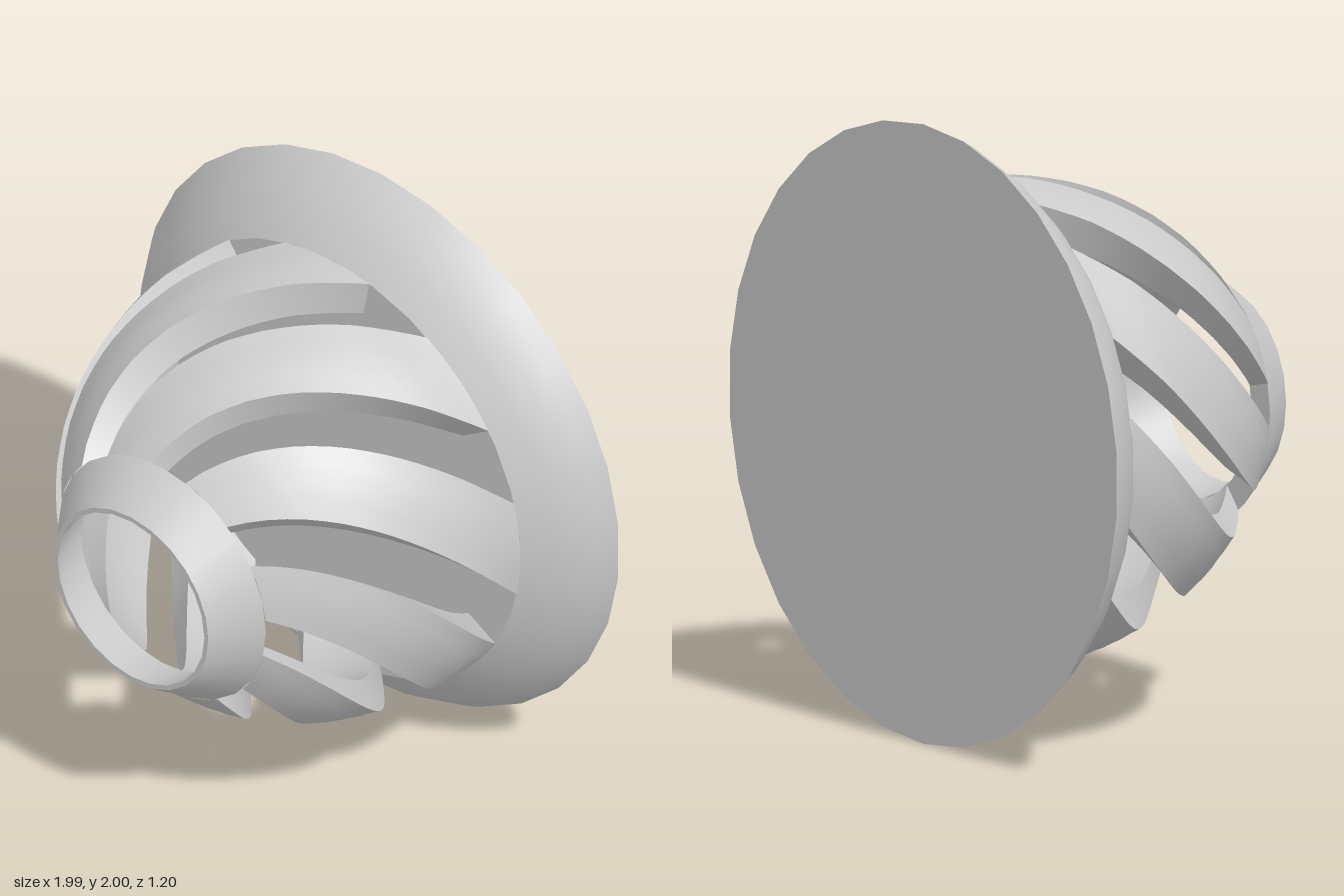
import * as THREE from 'three';
import { toCreasedNormals } from 'three/addons/utils/BufferGeometryUtils.js';

const RIBS = 8;
const RIB_WIDTH = 26;      // degrees around the axis
const TWIST = 62;          // degrees from base to collar
const Z0 = -0.37, Z1 = 0.45;
const rad = THREE.MathUtils.degToRad;

// Outer radius of the bowl along the axis: [z, radius]
const BOWL = [[-0.37, 0.785], [-0.2, 0.78], [-0.1, 0.762], [0, 0.735], [0.1, 0.7],
  [0.2, 0.648], [0.3, 0.58], [0.4, 0.49], [0.45, 0.435]];

function bowlRadius(z) {
  let i = 1;
  while (i < BOWL.length - 1 && z > BOWL[i][0]) i++;
  const [za, ra] = BOWL[i - 1], [zb, rb] = BOWL[i];
  return ra + (rb - ra) * (z - za) / (zb - za);
}

// Turned part around the z axis from [radius, z] points
function turned(profile, sides) {
  const pts = profile.map(([r, z]) => new THREE.Vector2(r, z));
  const geo = new THREE.LatheGeometry(pts, sides).rotateX(Math.PI / 2);
  return toCreasedNormals(geo, rad(32));
}

// Curved bar that follows the bowl while twisting round the axis
function ribGeometry() {
  const steps = 20, arc = 4, loop = 2 * (arc + 1);
  const pos = [], index = [];
  for (let i = 0; i <= steps; i++) {
    const t = i / steps, z = Z0 + (Z1 - Z0) * t;
    const outer = bowlRadius(z), inner = outer - (0.13 - 0.035 * t);
    const start = TWIST * (t - 1) - RIB_WIDTH / 2;
    for (let k = 0; k < loop; k++) {
      const onOuter = k <= arc;
      const a = rad(start + RIB_WIDTH * (onOuter ? k : loop - 1 - k) / arc);
      const r = onOuter ? outer : inner;
      pos.push(r * Math.cos(a), r * Math.sin(a), z);
    }
  }
  for (let i = 0; i < steps; i++) {
    for (let k = 0; k < loop; k++) {
      const a = i * loop + k, b = i * loop + (k + 1) % loop;
      index.push(a, b, b + loop, a, b + loop, a + loop);
    }
  }
  const geo = new THREE.BufferGeometry();
  geo.setAttribute('position', new THREE.Float32BufferAttribute(pos, 3));
  geo.setIndex(index);
  return toCreasedNormals(geo, rad(35));
}

export function createModel() {
  const model = new THREE.Group();
  const material = new THREE.MeshStandardMaterial({ color: 0xcccccc });
  const add = (name, geo) => {
    const mesh = new THREE.Mesh(geo, material);
    mesh.name = name;
    mesh.position.y = 1;
    model.add(mesh);
    return mesh;
  };

  // Solid base plate with a rounded flank
  add('base', turned([[0, -0.6], [1, -0.6], [0.97, -0.55], [0.925, -0.49],
    [0.865, -0.43], [0.785, Z0], [0, Z0]], 30));

  // Tapered collar around the open mouth
  add('collar', turned([[0.34, Z1], [0.435, Z1], [0.325, 0.6], [0.308, 0.6], [0.34, Z1]], 24));

  // Swirling ribs
  const rib = ribGeometry();
  for (let i = 0; i < RIBS; i++) {
    add('rib' + (i + 1), rib).rotation.z = rad(19 + i * 360 / RIBS);
  }
  return model;
}
